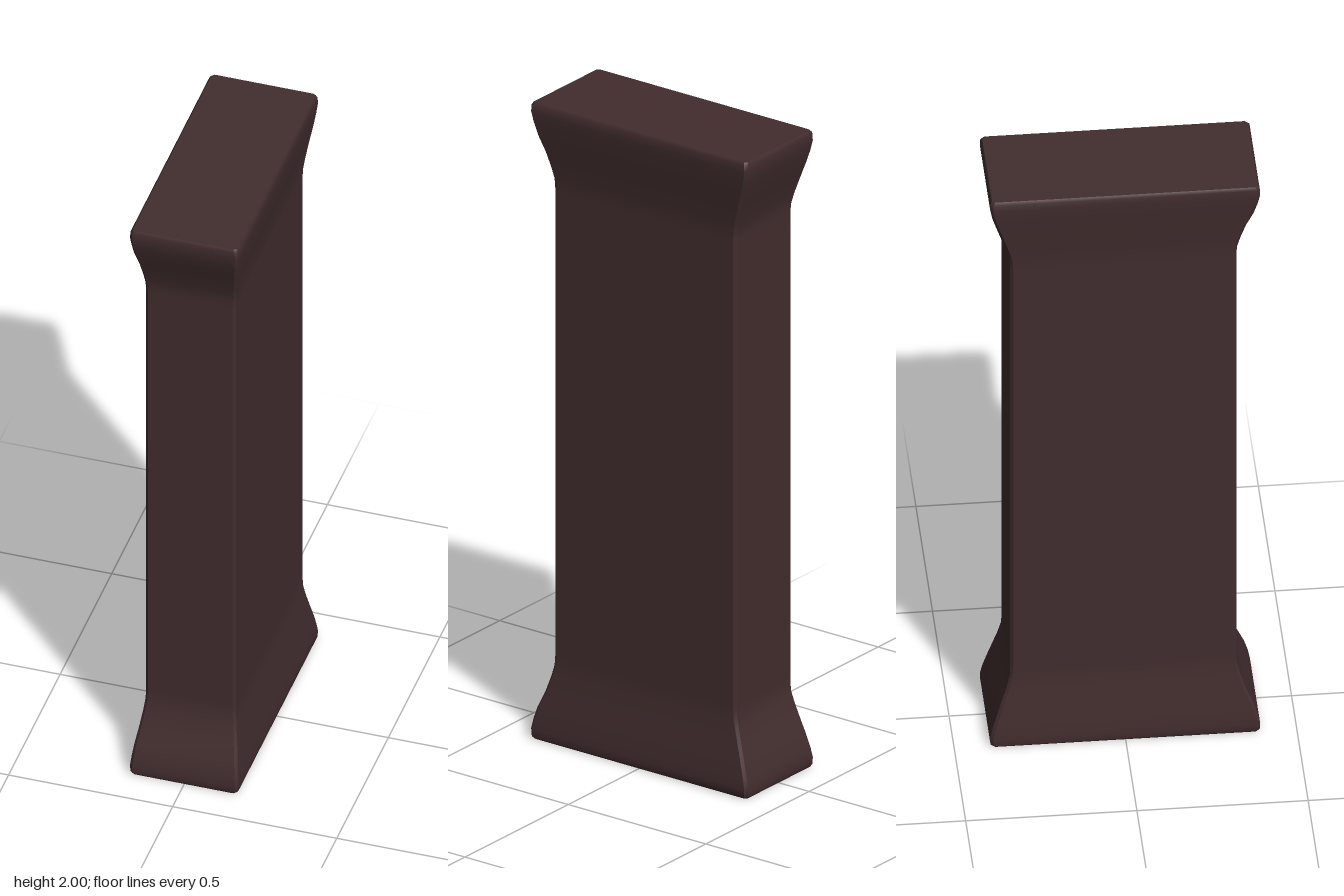
import * as THREE from 'three';

// Half profile of the flared end: height, half width (x), half depth (z)
const FLARE = [
  [0, 0.158, 0.388], [0.008, 0.164, 0.393], [0.03, 0.165, 0.394], [0.06, 0.162, 0.388],
  [0.1, 0.157, 0.376], [0.15, 0.149, 0.357], [0.2, 0.142, 0.341], [0.235, 0.138, 0.332],
  [0.27, 0.137, 0.33],
];
const BEVEL = 0.008;

// Rectangle with chamfered corners, counter-clockwise seen from above
function section([y, x, z]) {
  const dz = z < 0.36 ? -0.004 : -0.001;
  const b = BEVEL;
  return [
    [x, z - b], [x, b - z], [x - b, -z], [b - x, -z],
    [-x, b - z], [-x, z - b], [b - x, z], [x - b, z],
  ].map(([px, pz]) => new THREE.Vector3(px - 0.001, y, pz + dz));
}

// One side of the pillar, smooth along its height and sharp at its edges
function sideGeometry(rings, i) {
  const j = (i + 1) % rings[0].length;
  const points = rings.flatMap((r) => [r[i], r[j]]);
  const index = [];
  for (let k = 0; k < rings.length - 1; k++) {
    const a = 2 * k;
    index.push(a, a + 1, a + 3, a, a + 3, a + 2);
  }
  const geometry = new THREE.BufferGeometry().setFromPoints(points);
  geometry.setIndex(index);
  geometry.computeVertexNormals();
  return geometry;
}

// Flat end face
function capGeometry(ring, up) {
  const index = [];
  for (let i = 1; i < ring.length - 1; i++) index.push(0, ...(up ? [i, i + 1] : [i + 1, i]));
  const geometry = new THREE.BufferGeometry().setFromPoints(ring);
  geometry.setIndex(index);
  geometry.computeVertexNormals();
  return geometry;
}

export function createModel() {
  const model = new THREE.Group();
  model.name = 'pillar';
  const darkBrown = new THREE.MeshStandardMaterial({ color: 0x422d2e });
  darkBrown.name = 'dark brown';

  const add = (name, geometry) => {
    const mesh = new THREE.Mesh(geometry, darkBrown);
    mesh.name = name;
    model.add(mesh);
  };

  // Flared foot, straight shaft and mirrored flared head
  const head = FLARE.map(([y, x, z]) => [2 - y, x, z]).reverse();
  const rings = [...FLARE, ...head].map(section);
  const names = ['leftSide', 'backLeftEdge', 'back', 'backRightEdge',
    'rightSide', 'frontRightEdge', 'front', 'frontLeftEdge'];
  names.forEach((name, i) => add(name, sideGeometry(rings, i)));

  add('bottomFace', capGeometry(rings[0], false));
  add('topFace', capGeometry(rings[rings.length - 1], true));
  return model;
}
